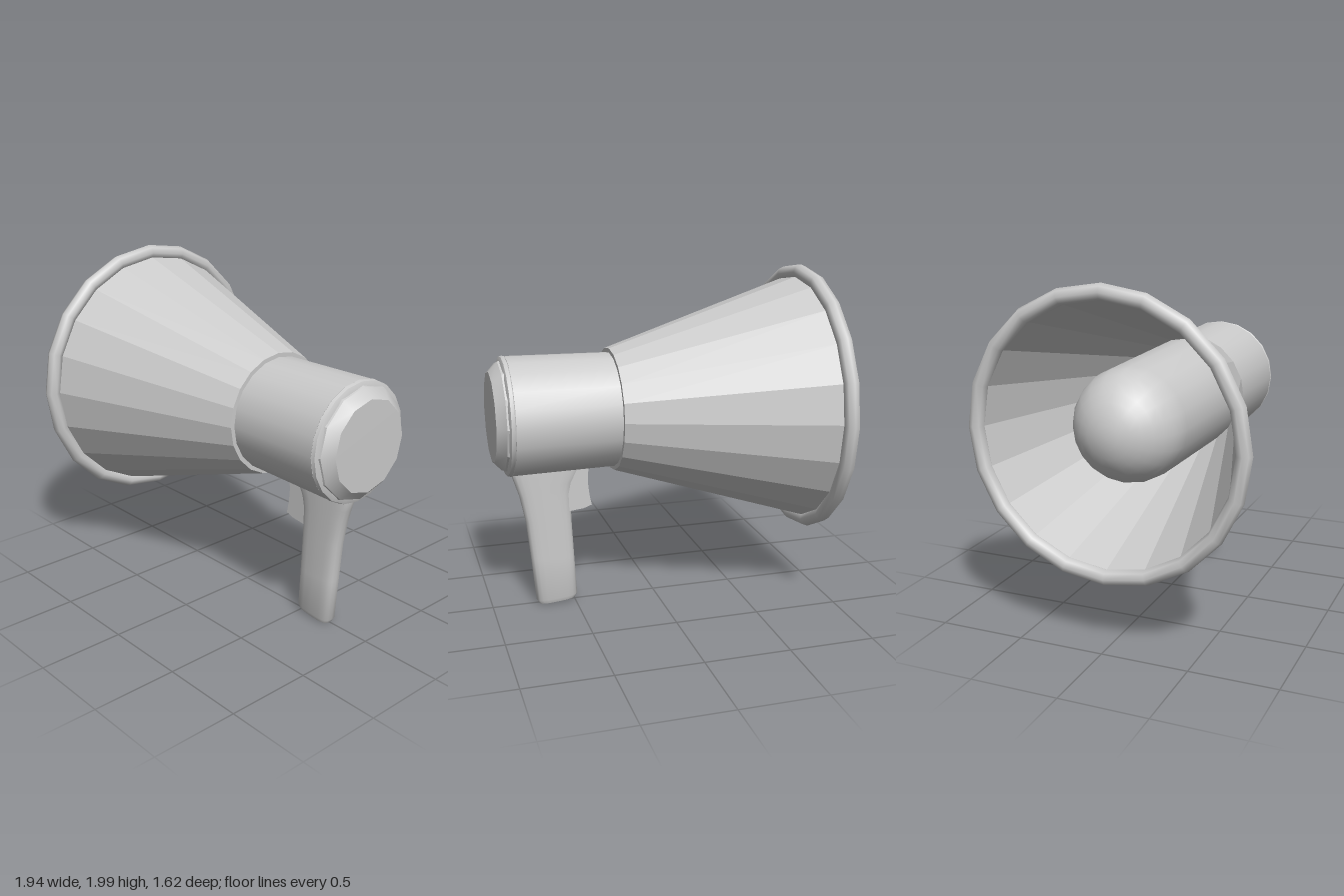
import * as THREE from 'three';
import { toCreasedNormals } from 'three/addons/utils/BufferGeometryUtils.js';

const AXIS_Y = 1.192;
const smooth = new THREE.MeshStandardMaterial({ color: 0xcccccc });
const faceted = new THREE.MeshStandardMaterial({ color: 0xcccccc, flatShading: true });

// Revolve [x, radius] pairs around the horizontal axis of the megaphone
function turned(name, profile, sides, material, crease = 0.6) {
  const points = profile.map(([x, r]) => new THREE.Vector2(r, x));
  let geometry = new THREE.LatheGeometry(points, sides);
  geometry.rotateZ(-Math.PI / 2);
  geometry = toCreasedNormals(geometry, crease);
  const mesh = new THREE.Mesh(geometry, material);
  mesh.name = name;
  mesh.position.y = AXIS_Y;
  return mesh;
}

// Loft rounded sections [y, xFront, xBack, halfThickness, tilt] into a closed grip
function grip(sections, sides = 20) {
  const positions = [];
  const index = [];
  const power = (v) => Math.sign(v) * Math.pow(Math.abs(v), 0.6);
  for (const [y, x0, x1, half, tilt] of sections) {
    for (let i = 0; i < sides; i++) {
      const a = (i / sides) * Math.PI * 2;
      const c = power(Math.cos(a));
      positions.push((x0 + x1) / 2 + (c * (x1 - x0)) / 2, y + c * tilt, power(Math.sin(a)) * half);
    }
  }
  for (let s = 0; s < sections.length - 1; s++) {
    for (let i = 0; i < sides; i++) {
      const j = (i + 1) % sides;
      const a = s * sides + i, b = s * sides + j;
      index.push(a, a + sides, b, b, a + sides, b + sides);
    }
  }
  // End caps
  const last = (sections.length - 1) * sides;
  for (let i = 1; i < sides - 1; i++) {
    index.push(0, i, i + 1);
    index.push(last, last + i + 1, last + i);
  }
  const geometry = new THREE.BufferGeometry();
  geometry.setAttribute('position', new THREE.Float32BufferAttribute(positions, 3));
  geometry.setIndex(index);
  return toCreasedNormals(geometry, 0.8);
}

export function createModel() {
  const group = new THREE.Group();

  // Flared horn: outer wall, narrow rear lip, inner wall
  group.add(turned('horn', [
    [-0.92, 0.745], [0.265, 0.362], [0.265, 0.33], [-0.92, 0.725],
  ], 20, faceted));

  // Rolled rim around the mouth
  const rim = new THREE.Mesh(new THREE.TorusGeometry(0.765, 0.045, 8, 20), smooth);
  rim.name = 'mouthRim';
  rim.rotation.y = Math.PI / 2;
  rim.position.set(-0.925, AXIS_Y, 0);
  group.add(rim);

  // Body runs through the horn and ends in a dome inside the mouth
  const body = [];
  for (let i = 0; i <= 8; i++) {
    const a = (i / 8) * Math.PI / 2;
    body.push([-0.57 - 0.325 * Math.cos(a), 0.325 * Math.sin(a)]);
  }
  body.push([0.26, 0.337], [0.87, 0.347], [0.87, 0]);
  group.add(turned('body', body, 20, smooth));

  // Rear collar and chamfered end cap
  group.add(turned('rearCollar', [
    [0.86, 0.335], [0.875, 0.35], [0.895, 0.345], [0.905, 0.32], [0.905, 0],
  ], 20, smooth));
  group.add(turned('endCap', [
    [0.89, 0.328], [0.915, 0.322], [0.968, 0.265], [0.97, 0],
  ], 12, smooth, 0.4));

  // Pistol grip
  const handle = new THREE.Mesh(grip([
    [0.02, 0.5, 0.72, 0.046, -0.01],
    [0.045, 0.485, 0.735, 0.055, -0.012],
    [0.3, 0.498, 0.76, 0.055, 0],
    [0.54, 0.51, 0.785, 0.055, 0],
    [0.7, 0.512, 0.818, 0.055, 0],
    [0.77, 0.495, 0.84, 0.055, 0],
    [0.86, 0.445, 0.87, 0.055, 0],
    [0.95, 0.42, 0.87, 0.055, 0],
  ]), smooth);
  handle.name = 'handle';
  group.add(handle);

  // Trigger in front of the grip
  const shape = new THREE.Shape();
  shape.moveTo(0.54, 0.59);
  shape.lineTo(0.54, 0.9);
  shape.lineTo(0.405, 0.9);
  shape.lineTo(0.412, 0.77);
  shape.quadraticCurveTo(0.408, 0.69, 0.39, 0.62);
  shape.lineTo(0.44, 0.602);
  shape.closePath();
  const triggerGeometry = new THREE.ExtrudeGeometry(shape, { depth: 0.08, bevelEnabled: false, curveSegments: 5 });
  triggerGeometry.translate(0, 0, -0.04);
  const trigger = new THREE.Mesh(toCreasedNormals(triggerGeometry, 0.5), smooth);
  trigger.name = 'trigger';
  group.add(trigger);

  return group;
}
